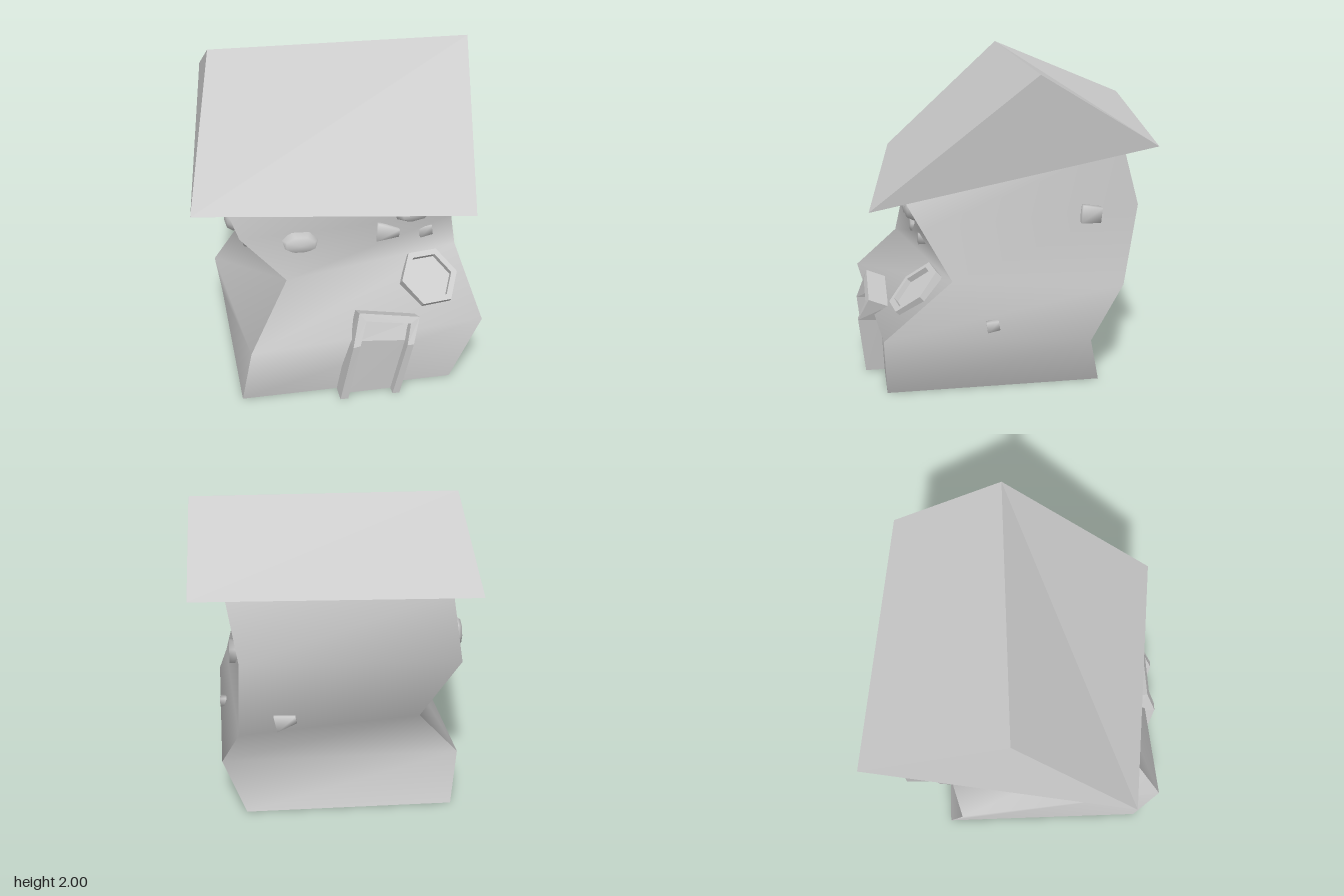
import * as THREE from 'three';
import { mergeVertices } from 'three/addons/utils/BufferGeometryUtils.js';

const V = (x, y, z) => new THREE.Vector3(x, y, z);
const material = new THREE.MeshStandardMaterial({ color: 0xcccccc });
const thin = new THREE.MeshStandardMaterial({ color: 0xcccccc, side: THREE.DoubleSide });

function add(parent, name, geometry, mat = material) {
  const mesh = new THREE.Mesh(geometry, mat);
  mesh.name = name;
  parent.add(mesh);
  return mesh;
}

// Flat-shaded geometry from polygons, each fanned into triangles
function faceted(polygons) {
  const points = [];
  for (const p of polygons)
    for (let i = 1; i < p.length - 1; i++) points.push(p[0], p[i], p[i + 1]);
  const g = new THREE.BufferGeometry().setFromPoints(points);
  g.computeVertexNormals();
  return g;
}

// Wall between two corner posts, smooth from bottom to top
function wallStrip(a, b) {
  const points = [], index = [];
  a.forEach((p, i) => {
    points.push(p, b[i]);
    const k = 2 * i;
    if (i < a.length - 1) index.push(k, k + 1, k + 3, k, k + 3, k + 2);
  });
  const g = new THREE.BufferGeometry().setFromPoints(points);
  g.setIndex(index);
  g.computeVertexNormals();
  return g;
}

// Box with shared corners for soft shading, pinched towards one end
function softBlock(pinch) {
  let g = new THREE.BoxGeometry(1, 1, 1);
  g.deleteAttribute('uv');
  g.deleteAttribute('normal');
  g = mergeVertices(g);
  const p = g.attributes.position;
  for (let i = 0; i < p.count; i++)
    if (p.getX(i) > 0) p.setY(i, p.getY(i) * pinch);
  g.computeVertexNormals();
  return g;
}

export function createModel() {
  const house = new THREE.Group();
  house.name = 'crookedHouse';

  // Corner posts of the bent body, bottom to top
  const frontLeft = [V(-0.69, 0, 0.82), V(-0.64, 0.42, 0.96), V(-0.38, 0.75, 0.69), V(-0.65, 1.01, 0.6), V(-0.75, 1.27, 0.56)];
  const frontRight = [V(0.65, 0, 0.82), V(0.84, 0.42, 0.84), V(0.77, 0.75, 0.42), V(0.68, 1.05, 0.59), V(0.58, 1.24, 0.7)];
  const backRight = [V(0.65, 0, -0.52), V(0.8, 0.33, -0.43), V(0.68, 0.64, -0.66), V(0.66, 1.15, -0.74), V(0.73, 1.53, -0.62)];
  const backLeft = [V(-0.69, 0, -0.52), V(-0.74, 0.33, -0.42), V(-0.47, 0.65, -0.5), V(-0.68, 1.12, -0.73), V(-0.6, 1.58, -0.77)];
  const posts = [frontLeft, frontRight, backRight, backLeft];
  ['frontWall', 'rightWall', 'backWall', 'leftWall'].forEach((name, i) =>
    add(house, name, wallStrip(posts[i], posts[(i + 1) % 4]), thin));

  // Tilted gable roof
  const ridgeL = V(-0.74, 2, -0.07), ridgeR = V(0.94, 2, -0.07);
  const eaveFL = V(-0.94, 1.24, 0.7), eaveFR = V(0.74, 1.19, 0.9);
  const eaveBL = V(-0.74, 1.62, -0.97), eaveBR = V(0.94, 1.57, -0.77);
  add(house, 'roof', faceted([
    [eaveFL, eaveFR, ridgeR, ridgeL],
    [eaveBR, eaveBL, ridgeL, ridgeR],
    [eaveFR, eaveBR, ridgeR],
    [eaveBL, eaveFL, ridgeL],
    [eaveFL, eaveBL, eaveBR, eaveFR],
  ]));

  // Door frame swept up, across and down: outer point, inner point, depth direction
  const door = new THREE.Group();
  door.name = 'door';
  house.add(door);
  const low = V(0, 0, -0.13), mid = V(0, -0.01, -0.14), top = V(0, -0.05, -0.12);
  const stations = [
    [V(-0.09, 0, 0.94), V(-0.04, 0, 0.94), low],
    [V(-0.02, 0.4, 0.98), V(0.025, 0.41, 0.98), mid],
    [V(0.03, 0.6, 0.91), V(0.07, 0.55, 0.93), top],
    [V(0.41, 0.53, 0.91), V(0.35, 0.5, 0.93), top],
    [V(0.36, 0.38, 0.98), V(0.32, 0.38, 0.98), mid],
    [V(0.29, 0, 0.94), V(0.245, 0, 0.94), low],
  ].map(([o, i, d]) => [o, i, i.clone().add(d), o.clone().add(d)]);
  const faces = [stations[0], stations[5]];
  for (let s = 0; s < 5; s++)
    for (let k = 0; k < 4; k++) {
      const n = (k + 1) % 4;
      faces.push([stations[s][k], stations[s][n], stations[s + 1][n], stations[s + 1][k]]);
    }
  add(door, 'doorFrame', faceted(faces), thin);

  // Door panel set back inside the frame
  const inner = stations.map((s) => s[1].clone().lerp(s[2], 0.45));
  add(door, 'doorPanel', faceted([
    [inner[0], inner[5], inner[4], inner[1]],
    [inner[1], inner[4], inner[3], inner[2]],
  ]), thin);

  // Hexagonal window lying on the sloping wall
  const windowGroup = new THREE.Group();
  windowGroup.name = 'window';
  const right = V(1, 0, -0.15).normalize();
  const normal = V(0.1, 0.74, 0.65).normalize();
  const up = normal.clone().cross(right).normalize();
  right.crossVectors(up, normal);
  windowGroup.quaternion.setFromRotationMatrix(new THREE.Matrix4().makeBasis(right, up, normal));
  windowGroup.position.set(0.54, 0.615, 0.61);
  house.add(windowGroup);
  const hexagon = (r) => Array.from({ length: 6 }, (_, i) =>
    new THREE.Vector2(r * Math.cos(i * Math.PI / 3), 1.05 * r * Math.sin(i * Math.PI / 3)));
  const rim = new THREE.Shape(hexagon(0.19));
  rim.holes.push(new THREE.Path(hexagon(0.15)));
  add(windowGroup, 'windowFrame', new THREE.ExtrudeGeometry(rim, { depth: 0.08, bevelEnabled: false }))
    .position.z = -0.03;
  add(windowGroup, 'windowPane', new THREE.ShapeGeometry(new THREE.Shape(hexagon(0.155))))
    .position.z = 0.015;

  // Stones set in the walls: shape, position, size, turn about y, roll
  const pebble = new THREE.SphereGeometry(0.5, 8, 4).rotateX(Math.PI / 2).rotateZ(Math.PI / 8);
  const block = softBlock(0.85), wedge = softBlock(0.4);
  const side = Math.PI / 2;
  [
    ['frontStone', pebble, [-0.28, 0.95, 0.6], [0.27, 0.16, 0.1], 0, -0.05],
    ['frontStone', pebble, [0.44, 1.12, 0.62], [0.27, 0.15, 0.12], 0, 0.2],
    ['frontStone', wedge, [0.27, 0.98, 0.59], [0.14, 0.12, 0.08], 0, -0.1],
    ['frontStone', block, [0.52, 0.955, 0.56], [0.08, 0.075, 0.08], 0, 0.15],
    ['rightStone', block, [0.68, 1.11, -0.44], [0.12, 0.11, 0.08], side, -0.1],
    ['rightStone', block, [0.79, 0.465, 0.18], [0.075, 0.065, 0.06], side, 0.15],
    ['leftStone', pebble, [-0.68, 1.21, -0.46], [0.22, 0.2, 0.09], -side, 0.4],
    ['leftStone', pebble, [-0.67, 1.04, 0.36], [0.22, 0.16, 0.1], -side, 0.3],
    ['leftStone', wedge, [-0.555, 0.84, 0.29], [0.15, 0.11, 0.08], -side, 0.2],
    ['backStone', wedge, [0.39, 0.74, -0.66], [0.13, 0.11, 0.08], Math.PI, 0.2],
  ].forEach(([name, geometry, position, size, turn, roll]) => {
    const stone = add(house, name, geometry);
    stone.position.set(...position);
    stone.scale.set(...size);
    stone.rotation.set(0, turn, roll, 'YXZ');
  });

  return house;
}
